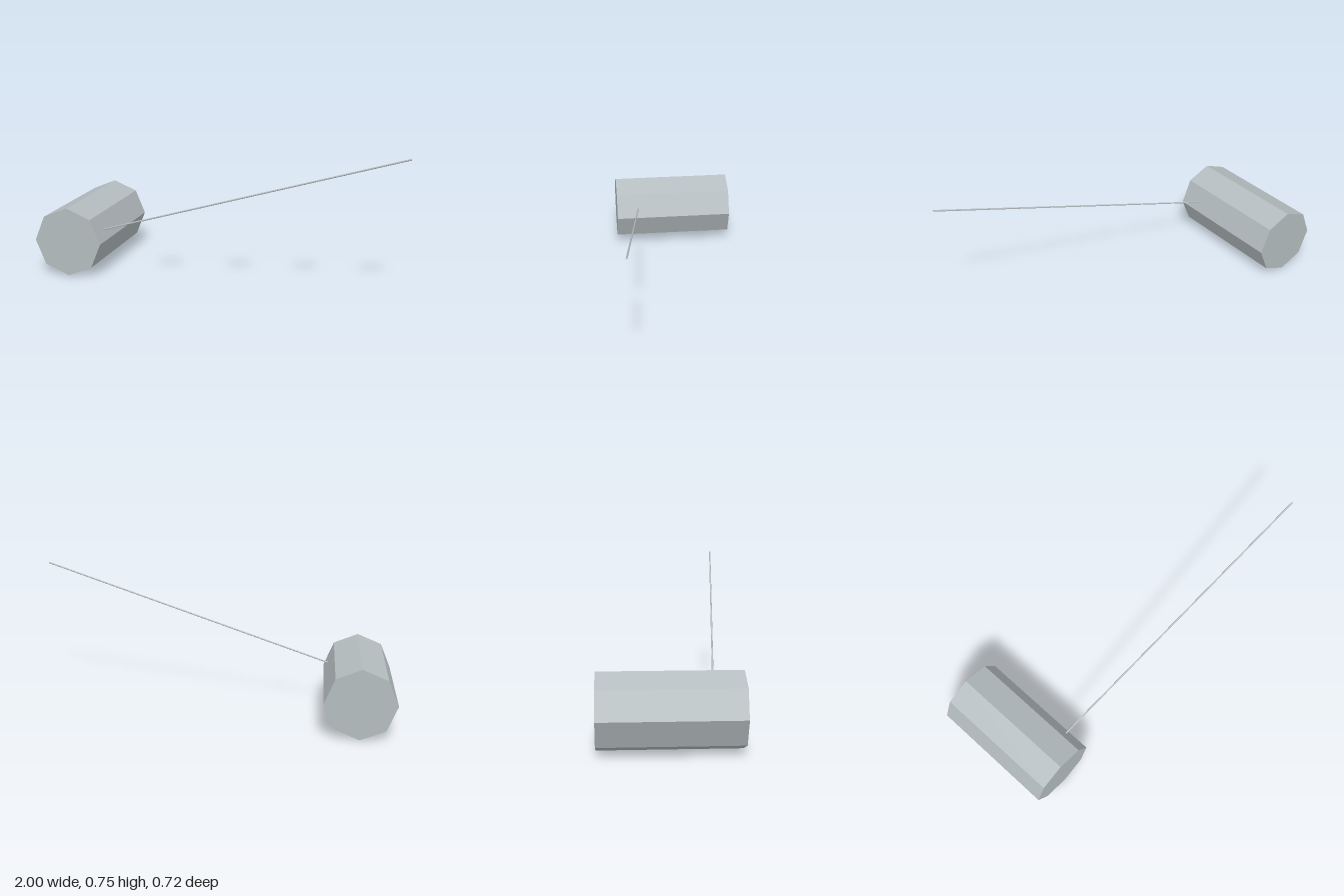
import * as THREE from 'three';

export function createModel() {
  const group = new THREE.Group();
  const grey = new THREE.MeshStandardMaterial({ color: 0xb4bcbf });
  grey.name = 'pale steel grey';

  // Eight-sided prism between two points
  function bar(name, from, to, radius) {
    const axis = new THREE.Vector3().subVectors(to, from);
    const flat = new THREE.CylinderGeometry(radius, radius, axis.length(), 8).toNonIndexed();
    flat.computeVertexNormals();
    const mesh = new THREE.Mesh(flat, grey);
    mesh.name = name;
    mesh.position.addVectors(from, to).multiplyScalar(0.5);
    mesh.quaternion.setFromUnitVectors(new THREE.Vector3(0, 1, 0), axis.normalize());
    group.add(mesh);
  }

  // Octagonal body lying along z, one edge resting on the ground
  bar('body', new THREE.Vector3(-0.811, 0.189, -0.358), new THREE.Vector3(-0.811, 0.189, 0.335), 0.189);

  // Thin rod rising out of the body's side
  bar('rod', new THREE.Vector3(-0.648, 0.239, 0.207), new THREE.Vector3(0.999, 0.75, 0.355), 0.0045);

  return group;
}
